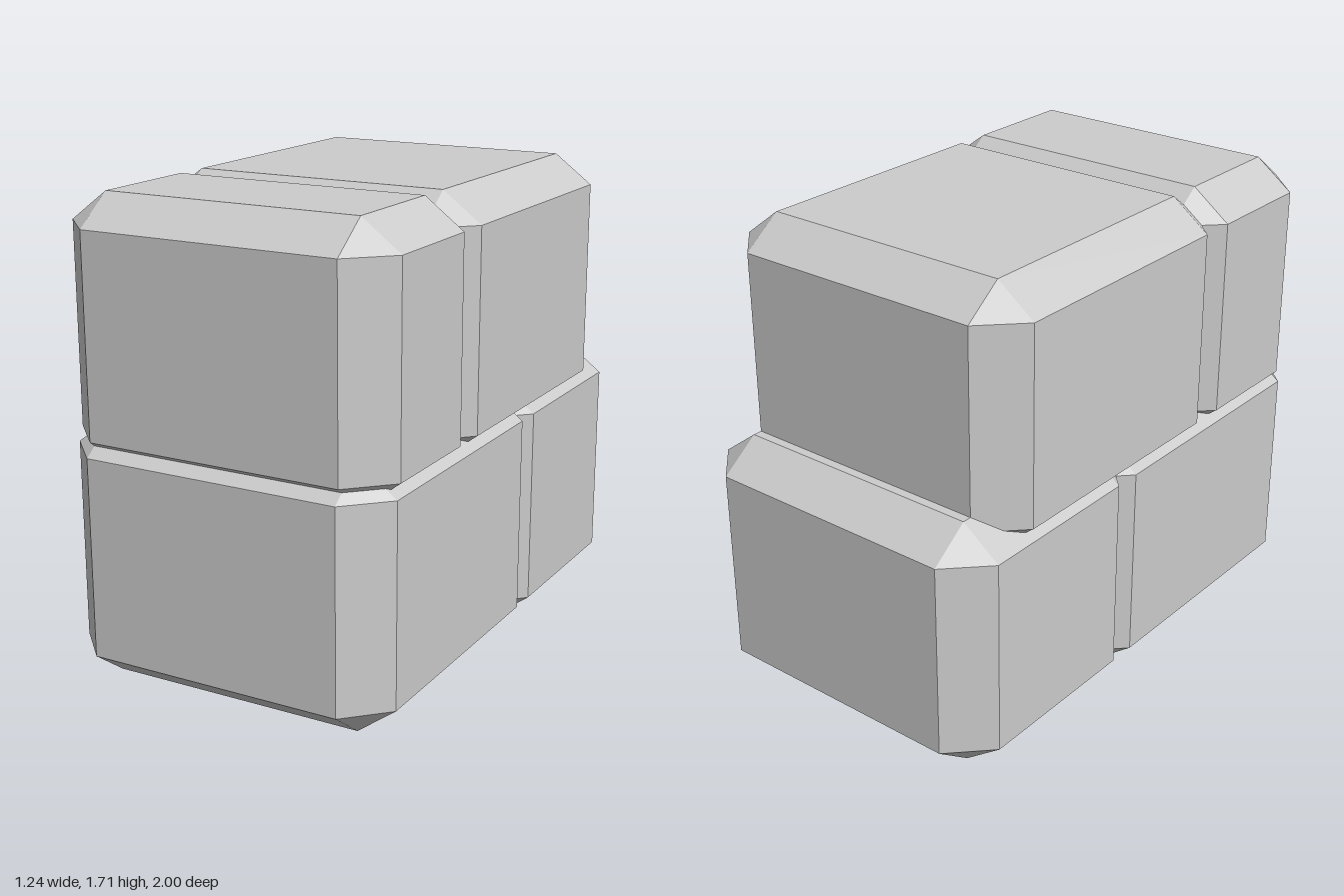
import * as THREE from 'three';
import { ConvexGeometry } from 'three/addons/geometries/ConvexGeometry.js';

const CHAMFER = new THREE.Vector3(0.143, 0.107, 0.143);

// Box with every edge and corner cut flat
function chamferedBox(width, height, depth) {
  const half = new THREE.Vector3(width, height, depth).multiplyScalar(0.5);
  const inner = half.clone().sub(CHAMFER);
  const points = [];
  for (const sx of [-1, 1]) for (const sy of [-1, 1]) for (const sz of [-1, 1]) {
    const sign = new THREE.Vector3(sx, sy, sz);
    for (const axis of ['x', 'y', 'z']) {
      const p = inner.clone();
      p[axis] = half[axis];
      points.push(p.multiply(sign));
    }
  }
  return new ConvexGeometry(points);
}

export function createModel() {
  const model = new THREE.Group();
  model.name = 'stackedBlocks';
  const material = new THREE.MeshStandardMaterial({ color: 0xcccccc, flatShading: true });

  // Two staggered courses; neighbours overlap so their chamfers form grooves
  const blocks = [
    { name: 'lowerFrontBlock', y: [0, 0.937], z: [-0.245, 1] },
    { name: 'lowerBackBlock', y: [0, 0.937], z: [-1, -0.06] },
    { name: 'upperFrontBlock', y: [0.773, 1.71], z: [0.267, 0.98] },
    { name: 'upperBackBlock', y: [0.773, 1.71], z: [-0.823, 0.423] },
  ];
  for (const { name, y, z } of blocks) {
    const mesh = new THREE.Mesh(chamferedBox(1.244, y[1] - y[0], z[1] - z[0]), material);
    mesh.name = name;
    mesh.position.set(0, (y[0] + y[1]) / 2, (z[0] + z[1]) / 2);
    model.add(mesh);
  }
  return model;
}
